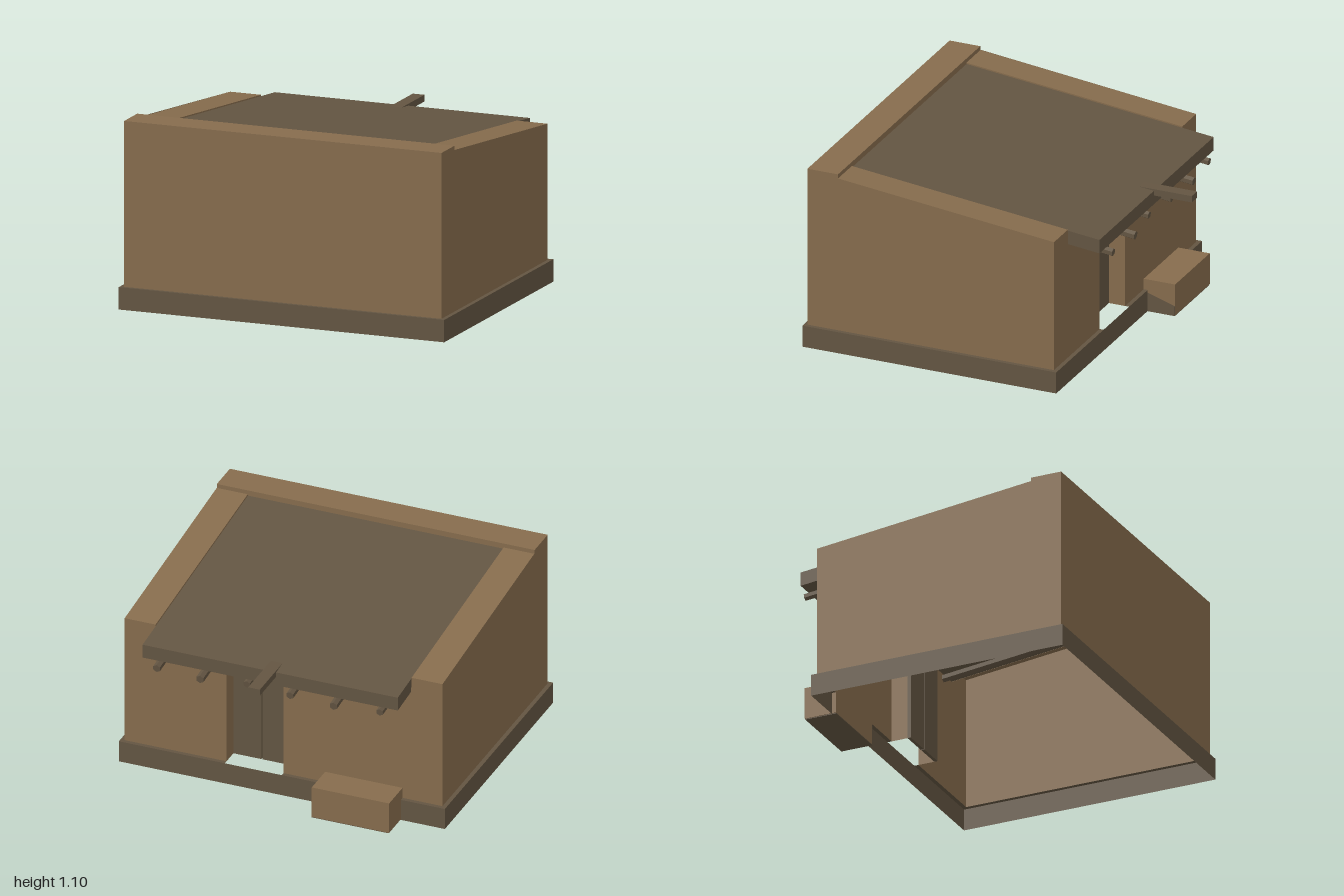
import * as THREE from 'three';

const clay = new THREE.MeshStandardMaterial({ color: 0x866c4d, side: THREE.DoubleSide });
clay.name = 'clay';
const timber = new THREE.MeshStandardMaterial({ color: 0x635542, side: THREE.DoubleSide });
timber.name = 'greyTimber';

// Outer wall limits, parapet inner limits, door opening
const W = 0.975, FRONT = 0.97, BACK = -0.56, FLOOR = 0.13, TOP = 1.095;
const IN = 0.785, STEP = 0.78;
const DOOR_L = 0.35, DOOR_R = 0, DOOR_Z = -0.46, DOOR_TOP = 0.84;
const SLOPE = (1.07 - 0.922) / (STEP - BACK);
const wallTop = z => 0.922 + (z - BACK) * SLOPE;
const roofTop = z => wallTop(z) - 0.007;
const ROOF_THICK = 0.083;

// Flat polygons sharing one mesh; each polygon is a list of [x, y, z] corners
function panels(name, mat, polys) {
  const pos = [];
  for (const p of polys)
    for (let i = 1; i < p.length - 1; i++) pos.push(...p[0], ...p[i], ...p[i + 1]);
  const g = new THREE.BufferGeometry();
  g.setAttribute('position', new THREE.Float32BufferAttribute(pos, 3));
  g.computeVertexNormals();
  const m = new THREE.Mesh(g, mat);
  m.name = name;
  return m;
}

// Box given by its limits
function box(name, mat, x0, x1, y0, y1, z0, z1) {
  const m = new THREE.Mesh(new THREE.BoxGeometry(x1 - x0, y1 - y0, z1 - z0), mat);
  m.position.set((x0 + x1) / 2, (y0 + y1) / 2, (z0 + z1) / 2);
  m.name = name;
  return m;
}

// Prism along x from a [z, y] outline
function prism(name, mat, outline, x0, x1) {
  const s = new THREE.Shape(outline.map(([z, y]) => new THREE.Vector2(-z, y)));
  const g = new THREE.ExtrudeGeometry(s, { depth: x1 - x0, bevelEnabled: false });
  g.rotateY(Math.PI / 2);
  g.translate(x0, 0, 0);
  const m = new THREE.Mesh(g, mat);
  m.name = name;
  return m;
}

// Vertical rectangle between two plan points [x, z]
const upright = (a, b, y0, y1) =>
  [[a[0], y0, a[1]], [b[0], y0, b[1]], [b[0], y1, b[1]], [a[0], y1, a[1]]];
const flat = (x0, x1, z0, z1, y) => [[x0, y, z1], [x1, y, z1], [x1, y, z0], [x0, y, z0]];

export function createModel() {
  const house = new THREE.Group();
  house.name = 'house';

  // Hollow plinth: four sides and a narrow top lip, open at the doorway
  const bz = -0.585, fz = 0.99;
  house.add(panels('plinth', timber, [
    upright([-1, fz], [1, fz], 0, FLOOR),
    upright([1, fz], [1, bz], 0, FLOOR),
    upright([1, bz], [-1, bz], 0, FLOOR),
    upright([-1, bz], [-1, fz], 0, FLOOR),
    flat(-1, 1, FRONT, fz, FLOOR),
    flat(W, 1, bz, FRONT, FLOOR),
    flat(-1, -W, bz, FRONT, FLOOR),
    flat(DOOR_L, W, bz, BACK, FLOOR),
    flat(-W, DOOR_R, bz, BACK, FLOOR),
  ]));

  // Front wall with its raised parapet
  house.add(panels('frontWall', clay, [
    upright([-W, FRONT], [W, FRONT], FLOOR, TOP),
    flat(-W, W, STEP, FRONT, TOP),
    upright([W, STEP], [-W, STEP], roofTop(STEP) - ROOF_THICK, TOP),
  ]));

  // Side walls with sloping tops
  for (const s of [1, -1]) {
    const x = s * W, xi = s * IN;
    const top = [[x, wallTop(STEP), STEP], [x, wallTop(BACK), BACK],
      [xi, wallTop(BACK), BACK], [xi, wallTop(STEP), STEP]];
    const inner = [[xi, wallTop(STEP), STEP], [xi, wallTop(BACK), BACK],
      [xi, wallTop(BACK) - 0.09, BACK], [xi, wallTop(STEP) - 0.09, STEP]];
    const outer = [[x, FLOOR, FRONT], [x, FLOOR, BACK], [x, wallTop(BACK), BACK],
      [x, wallTop(STEP), STEP], [x, TOP, STEP], [x, TOP, FRONT]];
    if (s < 0) [top, inner, outer].forEach(p => p.reverse());
    else inner.reverse();
    if (s < 0) inner.reverse();
    house.add(panels(s > 0 ? 'leftWall' : 'rightWall', clay, [top, inner, outer]));
  }

  // Back wall either side of the doorway, with the door jambs
  const eaveTop = wallTop(BACK);
  house.add(panels('backWall', clay, [
    upright([W, BACK], [IN, BACK], FLOOR, eaveTop),
    upright([IN, BACK], [DOOR_L, BACK], FLOOR, 0.86),
    upright([DOOR_R, BACK], [-IN, BACK], FLOOR, 0.86),
    upright([-IN, BACK], [-W, BACK], FLOOR, eaveTop),
    upright([DOOR_L, BACK], [DOOR_L, DOOR_Z], FLOOR, DOOR_TOP),
    upright([DOOR_R, DOOR_Z], [DOOR_R, BACK], FLOOR, DOOR_TOP),
  ]));

  // Double door and lintel
  const mid = (DOOR_L + DOOR_R) / 2;
  house.add(box('leftDoorLeaf', timber, mid + 0.003, DOOR_L, FLOOR, DOOR_TOP, DOOR_Z, DOOR_Z + 0.02));
  house.add(box('rightDoorLeaf', timber, DOOR_R, mid - 0.003, FLOOR, DOOR_TOP, DOOR_Z, DOOR_Z + 0.02));
  house.add(box('lintel', timber, -0.085, 0.435, 0.83, 0.911, -0.575, -0.45));

  // Sloping roof slab with overhanging eave
  const eave = -0.755;
  house.add(prism('roof', timber, [
    [STEP - 0.002, roofTop(STEP)], [eave, roofTop(eave)],
    [eave, roofTop(eave) - ROOF_THICK], [STEP - 0.002, roofTop(STEP) - ROOF_THICK],
  ], -IN + 0.002, IN - 0.002));

  // Roof poles, following the slope and ending unevenly
  const ends = [-0.775, -0.803, -0.79, -0.772, -0.81, -0.795];
  ends.forEach((end, i) => {
    const r = 0.022 + (-0.77 - end) * 0.08;
    const start = STEP - 0.02, len = Math.hypot(start - end, (start - end) * SLOPE);
    const g = new THREE.CylinderGeometry(r, r, len, 6).toNonIndexed();
    g.computeVertexNormals();
    const pole = new THREE.Mesh(g, timber);
    const z = (start + end) / 2;
    pole.position.set(-0.68 + i * 0.272, roofTop(z) - ROOF_THICK - r, z);
    pole.rotation.x = Math.PI / 2 - Math.atan(SLOPE);
    pole.name = 'roofPole';
    house.add(pole);
  });

  // Rain spout
  house.add(box('rainSpout', timber, -0.036, 0.036, 0.865, 0.904, -0.99, -0.5));

  // Bench against the back wall with a sloping foot
  house.add(box('bench', clay, -0.73, -0.255, 0.004, 0.195, -0.755, BACK));
  house.add(prism('benchFoot', timber, [
    [-0.56, 0], [-0.56, 0.122], [-0.754, 0.06], [-0.754, 0],
  ].reverse(), -0.725, -0.252));

  return house;
}
